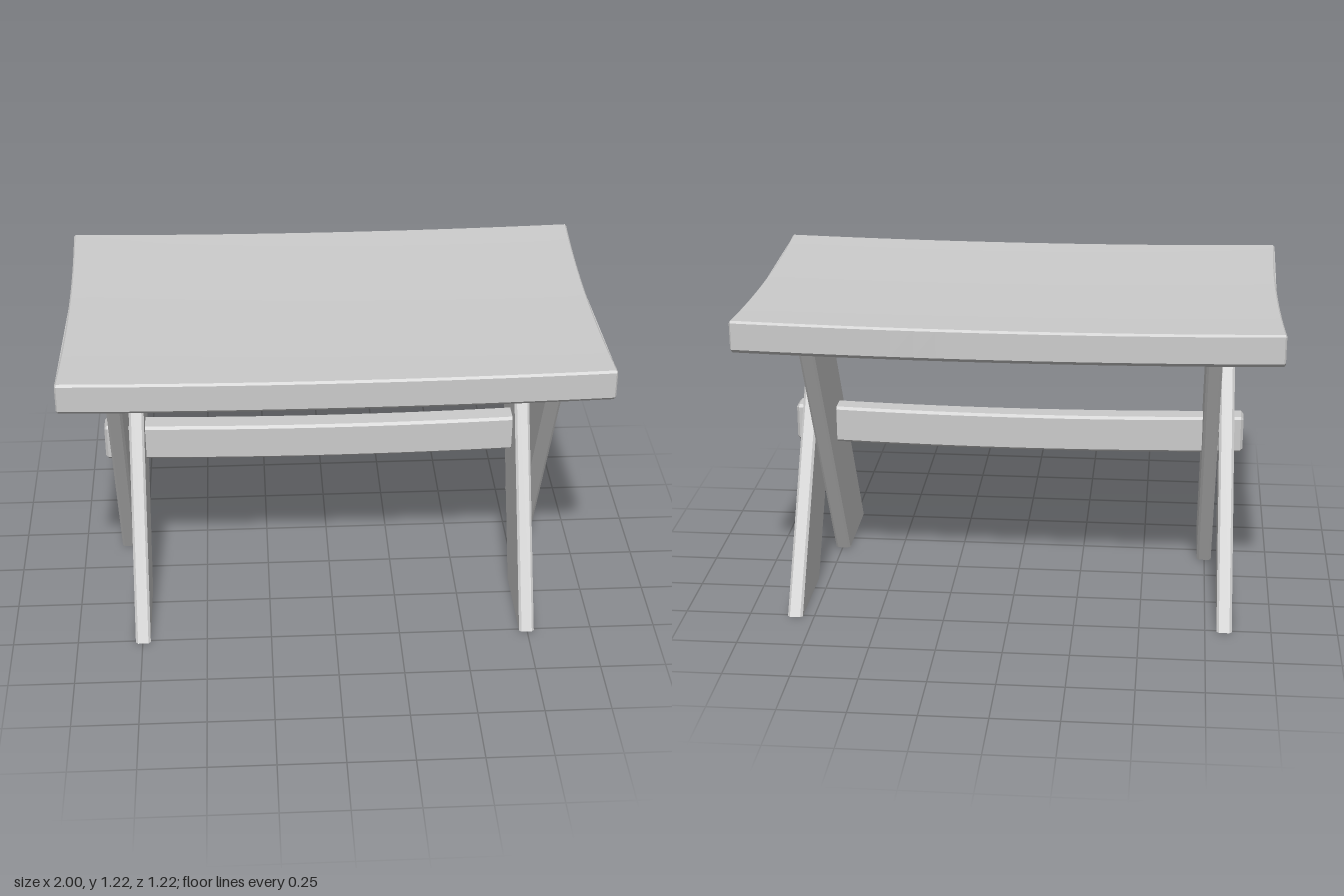
import * as THREE from 'three';
import { toCreasedNormals } from 'three/addons/utils/BufferGeometryUtils.js';

const wood = new THREE.MeshStandardMaterial({ color: 0xcccccc });
wood.name = 'plain grey wood';

// Rectangle outline with chamfered corners; c0 / c1 are the chamfers at the low / high first axis,
// and the long runs along the second axis are divided so that they can bend.
function outline(a0, a1, halfB, c0, c1, divisions) {
  const pts = [];
  for (let i = 0; i <= divisions; i++) {
    pts.push(new THREE.Vector2(a1, THREE.MathUtils.lerp(-halfB + c1, halfB - c1, i / divisions)));
  }
  for (let i = 0; i <= divisions; i++) {
    pts.push(new THREE.Vector2(a0, THREE.MathUtils.lerp(halfB - c0, -halfB + c0, i / divisions)));
  }
  pts.splice(divisions + 1, 0, new THREE.Vector2(a1 - c1, halfB));
  pts.splice(divisions + 2, 0, new THREE.Vector2(a0 + c0, halfB));
  pts.push(new THREE.Vector2(a0 + c0, -halfB), new THREE.Vector2(a1 - c1, -halfB));
  return new THREE.Shape(pts);
}

// Moves every vertex by a rule, then restores crisp or smooth normals.
function reshape(geometry, rule) {
  const pos = geometry.attributes.position;
  for (let i = 0; i < pos.count; i++) {
    pos.setXYZ(i, ...rule(pos.getX(i), pos.getY(i), pos.getZ(i)));
  }
  geometry.computeVertexNormals();
  return toCreasedNormals(geometry, 0.3);
}

// Beam lying along x, with bevelled ends, from an outline in (y, z).
function beam(shape, halfLength, bevel, bend) {
  const geometry = new THREE.ExtrudeGeometry(shape, {
    depth: 2 * (halfLength - bevel), steps: 24, bevelEnabled: true,
    bevelThickness: bevel, bevelSize: bevel, bevelOffset: -bevel, bevelSegments: 1,
  });
  return reshape(geometry, (y, z, d) => bend(d - halfLength + bevel, y, z));
}

// Slanted plank cut level at floor and top; x and z are centre lines at the floor and at the top.
const LEG_HEIGHT = 1.09;
function legPlank(xFloor, xTop, zFloor, zTop) {
  const shape = outline(-0.184, 0.184, 0.029, 0.009, 0.009, 1);
  const geometry = new THREE.ExtrudeGeometry(shape, { depth: 1, steps: 1, bevelEnabled: false });
  return reshape(geometry, (z, x, t) => [
    x + THREE.MathUtils.lerp(xFloor, xTop, t),
    t * LEG_HEIGHT,
    z + THREE.MathUtils.lerp(zFloor, zTop, t),
  ]);
}

function add(parent, name, geometry) {
  const mesh = new THREE.Mesh(geometry, wood);
  mesh.name = name;
  parent.add(mesh);
}

export function createModel() {
  const group = new THREE.Group();
  group.name = 'trestleTable';

  // Dished top: corners rise and the short ends curve inward
  const topShape = outline(1.073, 1.195, 0.61, 0.014, 0.008, 16);
  add(group, 'tableTop', beam(topShape, 1, 0.006, (x, y, z) => {
    const w = (z / 0.61) ** 2;
    return [x * (0.985 + 0.015 * w), y + 0.013 * x * x + 0.009 * w, z];
  }));

  // Sagging stretcher, its ends passing through the legs as tenons
  const railShape = outline(0.535, 0.681, 0.045, 0.01, 0.01, 1);
  add(group, 'stretcher', beam(railShape, 0.88, 0.01, (x, y, z) => [x, y + 0.022 * x * x, z]));

  // Crossed planks at both ends
  for (const side of [-1, 1]) {
    const trestle = new THREE.Group();
    trestle.name = side > 0 ? 'leftTrestle' : 'rightTrestle';
    add(trestle, 'outerLeg', legPlank(side * 0.823, side * 0.808, -0.334, 0.296));
    add(trestle, 'innerLeg', legPlank(side * 0.748, side * 0.752, 0.334, -0.296));
    group.add(trestle);
  }
  return group;
}
